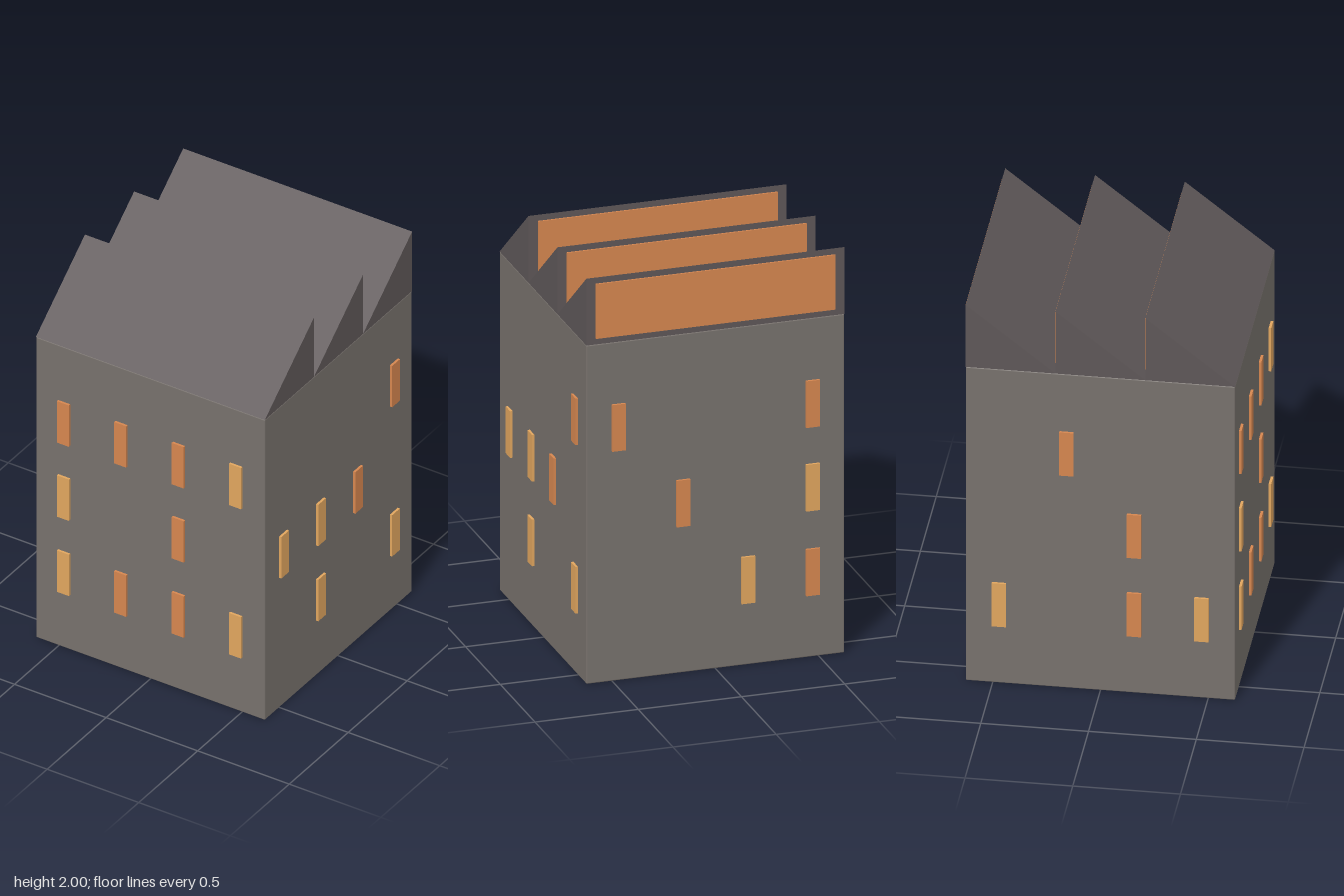
import * as THREE from 'three';
import { RoundedBoxGeometry } from 'three/addons/geometries/RoundedBoxGeometry.js';

const W = 1.25;        // square footprint
const WALL_H = 1.67;   // top of the walls
const TOP = 2;         // ridge height
const TEETH = 3;

const mat = (color) => new THREE.MeshStandardMaterial({ color });

export function createModel() {
  const model = new THREE.Group();
  model.name = 'factoryBuilding';

  const wallMat = mat(0x77716c);
  const roofMat = mat(0x5e5758);
  const paneMats = { o: mat(0xd5864f), y: mat(0xe0a55e) };

  const add = (parent, name, geometry, material, x = 0, y = 0, z = 0) => {
    const mesh = new THREE.Mesh(geometry, material);
    mesh.name = name;
    mesh.position.set(x, y, z);
    parent.add(mesh);
    return mesh;
  };

  // Main block with slightly softened edges
  add(model, 'walls', new RoundedBoxGeometry(W, WALL_H, W, 2, 0.006), wallMat, 0, WALL_H / 2, 0);

  // Sawtooth roof: each tooth rises toward the back and ends in an upright glazed face
  const depth = W / TEETH;
  const rise = TOP - WALL_H;
  const profile = new THREE.Shape();
  profile.moveTo(0, 0);
  profile.lineTo(depth, 0);
  profile.lineTo(depth, rise);
  profile.closePath();
  const toothGeo = new THREE.ExtrudeGeometry(profile, { depth: W, bevelEnabled: false });
  toothGeo.translate(0, 0, -W / 2);
  toothGeo.rotateY(Math.PI / 2); // profile x runs toward -z
  const glassGeo = new THREE.BoxGeometry(1.16, 0.27, 0.016);

  for (let i = 0; i < TEETH; i++) {
    const tooth = new THREE.Group();
    tooth.name = 'roofTooth' + (i + 1);
    tooth.position.set(0, WALL_H, W / 2 - i * depth);
    add(tooth, 'roofSlope', toothGeo, roofMat);
    add(tooth, 'skylight', glassGeo, paneMats.o, 0, rise / 2, -depth);
    model.add(tooth);
  }

  // Windows: rows from top to bottom, columns left to right seen from outside
  const rows = [1.25, 0.838, 0.42];
  const cols = [-0.47, -0.157, 0.157, 0.47];
  const facades = [
    { name: 'frontWindows', turn: 0, panes: ['oooy', 'y-o-', 'yooy'] },
    { name: 'leftWindows', turn: 1, panes: ['---o', 'yyo-', '-y-y'] },
    { name: 'backWindows', turn: 2, panes: ['o--o', '-o-y', '--yo'] },
    { name: 'rightWindows', turn: 3, panes: ['-o--', '--o-', 'y-oy'] },
  ];
  const paneGeo = new THREE.BoxGeometry(0.066, 0.23, 0.024);

  for (const { name, turn, panes } of facades) {
    const facade = new THREE.Group();
    facade.name = name;
    facade.rotation.y = turn * Math.PI / 2;
    panes.forEach((row, r) => [...row].forEach((c, k) => {
      if (c !== '-') add(facade, 'window', paneGeo, paneMats[c], cols[k], rows[r], W / 2);
    }));
    model.add(facade);
  }

  return model;
}
